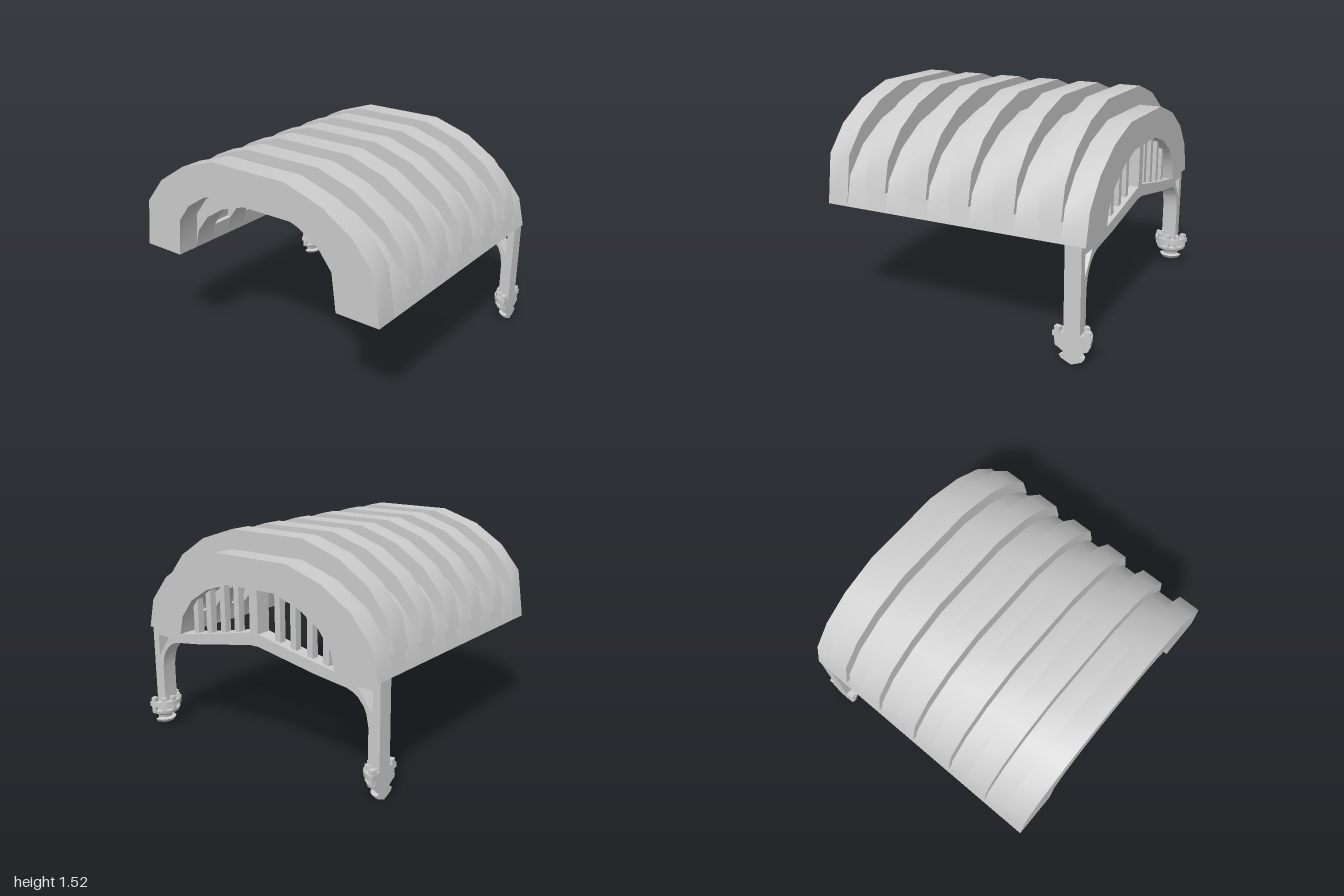
import * as THREE from 'three';
import { toCreasedNormals } from 'three/addons/utils/BufferGeometryUtils.js';

const material = new THREE.MeshStandardMaterial({ color: 0xcccccc });
const LIFT = 0.135; // how far the ribs rise above the roof shell

// Half profiles of the vault as [z, y], from the springing to the crown
const OUTER = [[1, 0.77], [0.95, 0.98], [0.8, 1.16], [0.58, 1.3], [0.3, 1.39]];
const INNER = [[0.68, 0.77], [0.65, 0.9], [0.55, 1.03], [0.4, 1.125], [0.2, 1.19]];
const lifted = (pts) => pts.map(([z, y]) => [z, y + LIFT]);

const mirror = (half) => [...half, ...half.map(([z, y]) => [-z, y]).reverse()];
const vectors = (pts) => pts.map(([a, b]) => new THREE.Vector2(a, b));

function addMesh(parent, name, geometry) {
  const mesh = new THREE.Mesh(geometry, material);
  mesh.name = name;
  parent.add(mesh);
  return mesh;
}

// Extrudes a (z, y) shape along x from x0 to x1
function extrudeX(shape, x0, x1) {
  const geo = new THREE.ExtrudeGeometry(shape, { depth: x1 - x0, bevelEnabled: false });
  geo.rotateY(Math.PI / 2);
  geo.translate(x0, 0, 0);
  return toCreasedNormals(geo, 0.6);
}

const archShape = (outer, inner) =>
  new THREE.Shape(vectors([...mirror(outer), ...mirror(inner).reverse()]));

function createRoof() {
  const roof = new THREE.Group();
  roof.name = 'vaultedRoof';
  const shell = archShape(OUTER, INNER);
  // Ribs are the shell pushed upward, leaving a small ledge at the foot
  const rib = archShape(
    [OUTER[0], [0.968, 0.905], ...lifted(OUTER)],
    [INNER[0], [0.65, 0.9], ...lifted(INNER)]
  );
  // The end rib blends into the foot of the shell without a ledge
  const endRib = archShape(
    [OUTER[0], ...lifted(OUTER).slice(1)],
    [INNER[0], ...lifted(INNER).slice(1)]
  );
  addMesh(roof, 'endRib', extrudeX(endRib, -0.98, -0.82));
  const ribs = [[-0.66, -0.5], [-0.34, -0.18], [-0.02, 0.135], [0.3, 0.455], [0.615, 0.77]];
  let x = -0.82;
  for (const [a, b] of ribs) {
    addMesh(roof, 'shellBay', extrudeX(shell, x, a));
    addMesh(roof, 'rib', extrudeX(rib, a, b));
    x = b;
  }
  addMesh(roof, 'shellBay', extrudeX(shell, x, 0.93));
  return roof;
}

function createGable() {
  const gable = new THREE.Group();
  gable.name = 'gableFrame';
  // Legs, curved braces and raised tie beam in one outline
  const top = [[1, 0.19], [1, 0.77], [0.68, 0.765], [0.4, 0.815], [0.04, 0.89]];
  const under = [[0.915, 0.19], [0.915, 0.47], [0.9, 0.55], [0.88, 0.595], [0.84, 0.642],
    [0.8, 0.668], [0.755, 0.685], [0.5, 0.72], [0.04, 0.805]];
  const shape = new THREE.Shape(vectors([...mirror(top), ...mirror(under).reverse()]));
  for (const s of [1, -1]) {
    shape.holes.push(new THREE.Path(vectors(
      [[0.945, 0.71], [0.835, 0.71], [0.945, 0.56]].map(([z, y]) => [z * s, y])
    )));
  }
  addMesh(gable, 'legsAndTieBeam', extrudeX(shape, 0.795, 0.905));

  // Upright bars between the tie beam and the vault
  const addBar = (name, z, width, depth, y0, y1) => {
    const bar = addMesh(gable, name, new THREE.BoxGeometry(depth, y1 - y0, width));
    bar.position.set(0.85, (y0 + y1) / 2, z);
  };
  addBar('centrePost', 0, 0.07, 0.11, 0.86, 1.22);
  const bars = [[0.18, 1.22], [0.31, 1.19], [0.445, 1.14], [0.572, 1.06]];
  for (const [z, y1] of bars) {
    for (const s of [1, -1]) addBar('gableBar', z * s, 0.045, 0.05, 0.84 - z * 0.15, y1);
  }
  return gable;
}

// Half-round turned pendant with a flat outer face
function createPendant() {
  const pendant = new THREE.Group();
  pendant.name = 'pendant';
  const profile = [[0, 0], [0.03, 0.012], [0.07, 0.03], [0.085, 0.052], [0.055, 0.06],
    [0.06, 0.08], [0.09, 0.1], [0.11, 0.108], [0.115, 0.13], [0.095, 0.135],
    [0.095, 0.165], [0.13, 0.17], [0.13, 0.203], [0, 0.203]];
  const lathe = new THREE.LatheGeometry(vectors(profile), 10, Math.PI / 2, Math.PI);
  addMesh(pendant, 'turnedBody', toCreasedNormals(lathe, 0.6));
  const right = profile.slice(1, -1);
  const outline = [[0, 0], ...right, ...right.map(([r, y]) => [-r, y]).reverse()];
  addMesh(pendant, 'flatFace', new THREE.ShapeGeometry(new THREE.Shape(vectors(outline))));

  // Small blocks around the groove and on the rim
  const addBlocks = (name, count, radius, y, size) => {
    for (let i = 0; i < count; i++) {
      const a = Math.PI * (0.06 + (0.88 * i) / (count - 1));
      const block = addMesh(pendant, name, new THREE.BoxGeometry(...size));
      block.position.set(radius * Math.cos(a), y, -radius * Math.sin(a));
      block.rotation.y = a;
    }
  };
  addBlocks('grooveBlock', 5, 0.1, 0.15, [0.04, 0.04, 0.03]);
  addBlocks('rimBlock', 5, 0.1, 0.215, [0.04, 0.036, 0.035]);
  return pendant;
}

export function createModel() {
  const model = new THREE.Group();
  model.name = 'vaultedCanopy';
  model.add(createRoof(), createGable());
  for (const s of [1, -1]) {
    const pendant = createPendant();
    pendant.position.set(0.85, 0, s);
    if (s < 0) pendant.rotation.y = Math.PI;
    model.add(pendant);
  }
  return model;
}
